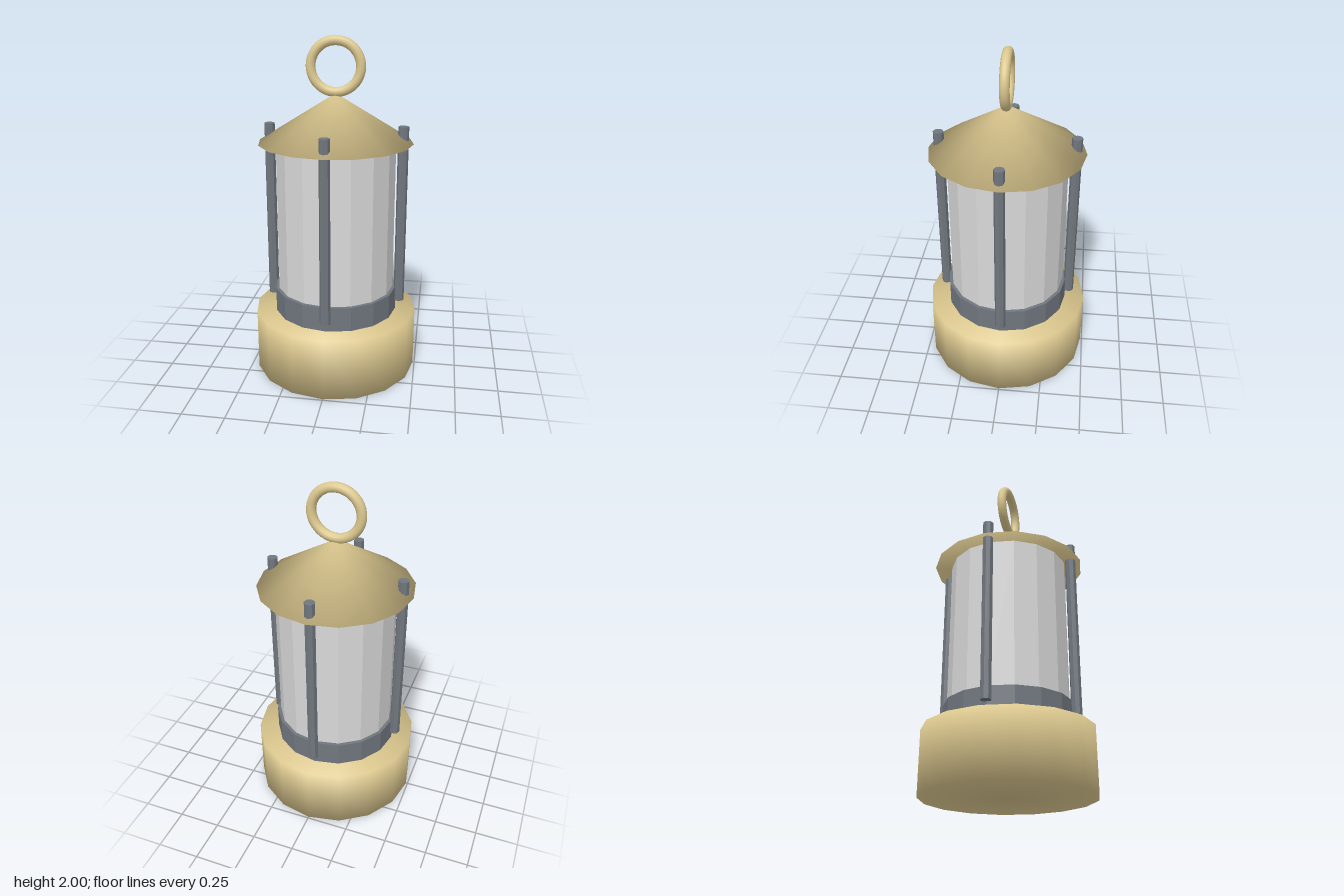
import * as THREE from 'three';

const SIDES = 16;

// Smooth closed solid of revolution; each profile point is [radius, y, normalOut, normalUp]
function smoothSolid(profile) {
  const geometry = new THREE.LatheGeometry(profile.map(([r, y]) => new THREE.Vector2(r, y)), SIDES);
  const normals = geometry.attributes.normal;
  for (let i = 0; i <= SIDES; i++) {
    const a = (i / SIDES) * Math.PI * 2;
    profile.forEach(([, , out, up], j) => {
      normals.setXYZ(i * profile.length + j, out * Math.sin(a), up, out * Math.cos(a));
    });
  }
  return geometry;
}

// Faceted upright cylinder between two heights
function facetedPost(radius, y0, y1, sides) {
  const geometry = new THREE.CylinderGeometry(radius, radius, y1 - y0, sides).translate(0, (y0 + y1) / 2, 0).toNonIndexed();
  geometry.computeVertexNormals();
  return geometry;
}

export function createModel() {
  const lantern = new THREE.Group();
  lantern.name = 'lantern';

  const material = (name, color) => {
    const m = new THREE.MeshStandardMaterial({ color });
    m.name = name;
    return m;
  };
  const brass = material('brass', 0xdcc88f);
  const iron = material('dark iron', 0x71777f);
  const glass = material('pale glass', 0xd9d9d9);

  const add = (name, geometry, mat) => {
    const mesh = new THREE.Mesh(geometry, mat);
    mesh.name = name;
    lantern.add(mesh);
    return mesh;
  };

  // Fuel base with softly shaded edges
  add('base', smoothSolid([
    [0, 0, 0, -0.66], [0.49, 0, 0.75, -0.66],
    [0.49, 0.37, 0.75, 0.66], [0, 0.37, 0, 0.66],
  ]), brass);

  // Collar and glass chimney
  add('collar', facetedPost(0.37, 0.36, 0.515, SIDES), iron);
  add('glassChimney', facetedPost(0.35, 0.5, 1.405, SIDES), glass);

  // Four guard rods passing through the roof
  for (let i = 0; i < 4; i++) {
    const a = (i * Math.PI) / 2;
    const rod = add('guardRod', facetedPost(0.031, 0.43, 1.5, 8), iron);
    rod.position.set(0.39 * Math.sin(a), 0, 0.39 * Math.cos(a));
  }

  // Conical roof
  add('roof', smoothSolid([
    [0, 1.4, 0, -0.23], [0.45, 1.4, 0.97, -0.23], [0, 1.68, 0, 1],
  ]), brass);

  // Hanging ring
  add('hangingRing', new THREE.TorusGeometry(0.143, 0.028, 12, 48), brass).position.y = 1.829;

  return lantern;
}
